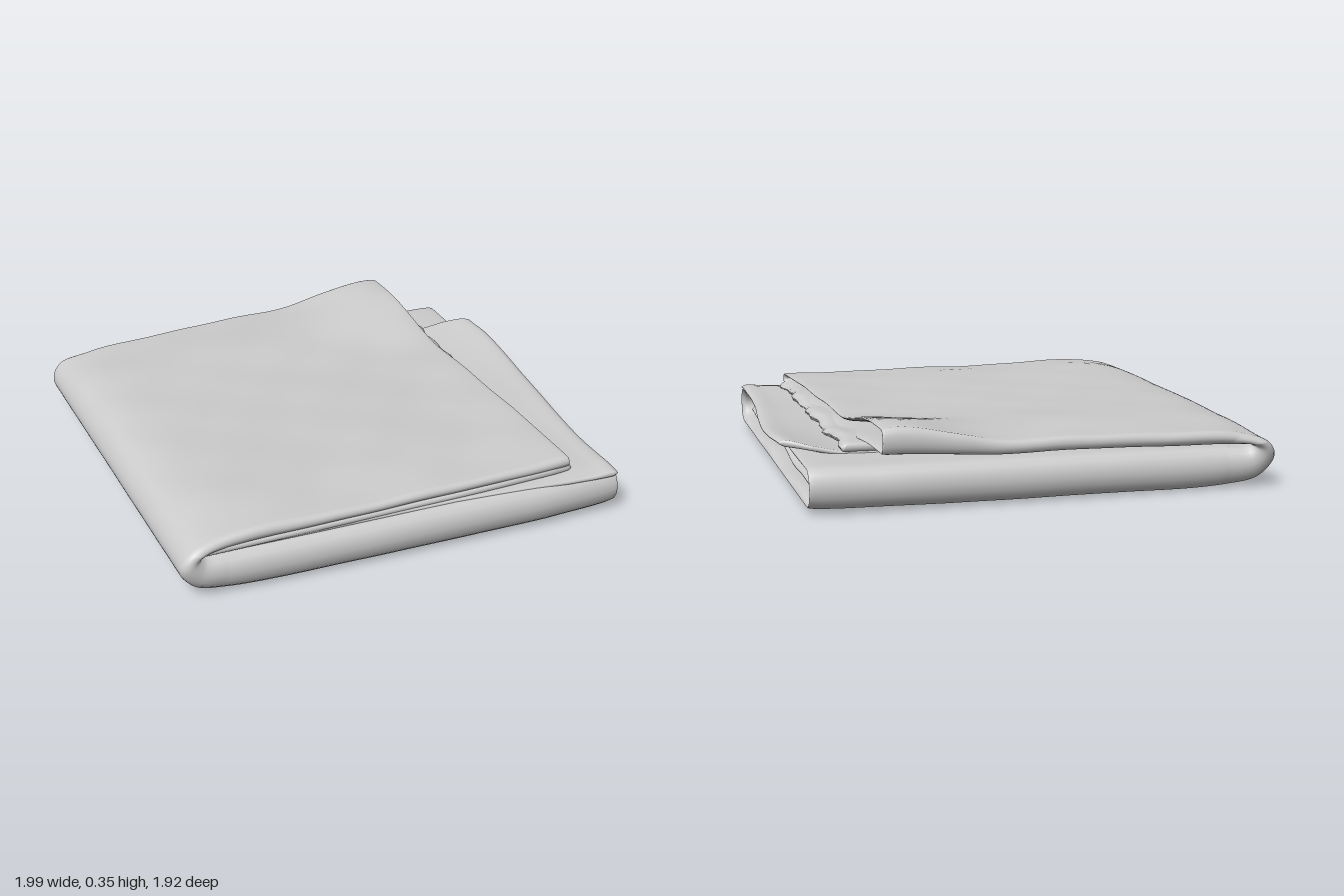
import * as THREE from 'three';

const smooth = THREE.MathUtils.smoothstep;

// Gentle cloth wrinkles
const ripple = (x, z) =>
  0.5 * Math.sin(5.1 * x + 2.3 * z + 0.7) * Math.sin(4.3 * z - 1.9 * x) +
  0.3 * Math.sin(11 * x - 7 * z) * Math.sin(9 * z + 1.3) +
  0.2 * Math.sin(19 * x + 13 * z + 2);

// Flattened closed loop: [position across, edge roundness, blend from face P to face Q]
function flatLoop(across, round) {
  const pts = [];
  for (let side = 1; side >= -1; side -= 2) {
    const w = (1 - side) / 2;
    for (let i = 0; i <= across; i++) pts.push([side * (-1 + (2 * i) / across), 0, w]);
    for (let i = 1; i < round; i++) {
      const a = (Math.PI * i) / round;
      pts.push([side, side * Math.sin(a), (1 - side * Math.cos(a)) / 2]);
    }
  }
  return pts;
}

// Cloth sleeve through stations [Px, Py, Qx, Qy, zMin, zMax]; bend() shapes each point
function sleeve(stations, steps, bend) {
  const curve = (f) => new THREE.CatmullRomCurve3(stations.map(f), false, 'centripetal');
  const outer = curve((s) => new THREE.Vector3(s[0], s[1], 0));
  const inner = curve((s) => new THREE.Vector3(s[2], s[3], 0));
  const loop = flatLoop(40, 8);
  const n = loop.length;
  const pos = [];
  const idx = [];
  const last = stations.length - 1;
  for (let i = 0; i <= steps; i++) {
    const u = i / steps;
    const p = outer.getPoint(u);
    const q = inner.getPoint(u);
    const edge = Math.min(0.065, 0.4 * p.distanceTo(q));
    const k = Math.min(Math.floor(u * last), last - 1);
    const f = u * last - k;
    const zMin = THREE.MathUtils.lerp(stations[k][4], stations[k + 1][4], f);
    const zMax = THREE.MathUtils.lerp(stations[k][5], stations[k + 1][5], f);
    for (const [c, o, w] of loop) {
      const point = new THREE.Vector3().lerpVectors(p, q, w);
      point.z = (zMin + zMax) / 2 + c * ((zMax - zMin) / 2 - edge) + o * edge;
      bend(point, u, w);
      pos.push(point.x, Math.max(point.y, 0), point.z);
    }
  }
  for (let i = 0; i < steps; i++) {
    for (let j = 0; j < n; j++) {
      const a = i * n + j;
      const b = i * n + ((j + 1) % n);
      idx.push(a, b, a + n, b, b + n, a + n);
    }
  }
  const g = new THREE.BufferGeometry();
  g.setAttribute('position', new THREE.Float32BufferAttribute(pos, 3));
  g.setIndex(idx);
  g.computeVertexNormals();
  return g;
}

export function createModel() {
  const group = new THREE.Group();
  const cloth = new THREE.MeshStandardMaterial({ color: 0xcccccc, side: THREE.DoubleSide });
  cloth.name = 'greyCloth';
  const add = (name, geometry) => {
    const mesh = new THREE.Mesh(geometry, cloth);
    mesh.name = name;
    group.add(mesh);
  };

  // Main path: lower lining, lip, lower bundle, fold at the -x side, upper bundle, lip, upper lining
  const fold = [
    [-0.8, 0.035, -0.8, 0.15, -0.85, 0.865],
    [0.2, 0.03, 0.2, 0.158, -0.86, 0.895],
    [0.7, 0.036, 0.7, 0.162, -0.865, 0.915],
    [0.9, 0.045, 0.9, 0.167, -0.865, 0.925],
    [0.92, 0.03, 0.92, 0.182, -0.885, 0.945],
    [0.6, 0.015, 0.6, 0.183, -0.9, 0.957],
    [-0.2, 0.008, -0.2, 0.177, -0.9, 0.938],
    [-0.8, 0.012, -0.78, 0.17, -0.9, 0.915],
    [-0.93, 0.045, -0.875, 0.168, -0.91, 0.912],
    [-0.987, 0.13, -0.895, 0.178, -0.925, 0.912],
    [-0.945, 0.21, -0.875, 0.188, -0.935, 0.91],
    [-0.82, 0.258, -0.78, 0.192, -0.92, 0.893],
    [-0.2, 0.266, -0.2, 0.202, -0.94, 0.885],
    [0.35, 0.266, 0.35, 0.205, -0.96, 0.877],
    [0.69, 0.266, 0.69, 0.208, -0.95, 0.865],
    [0.675, 0.256, 0.675, 0.218, -0.925, 0.845],
    [0.35, 0.252, 0.35, 0.217, -0.925, 0.85],
    [-0.2, 0.252, -0.2, 0.214, -0.915, 0.86],
    [-0.8, 0.242, -0.8, 0.205, -0.9, 0.865],
  ];
  add('foldedCloth', sleeve(fold, 180, (p, u, w) => {
    const upper = smooth(u, 0.5, 0.61);
    // Upper bundle rises towards its back open corner and droops at its edges
    const lift = smooth(-p.z, 0.25, 0.8) *
      (0.026 * smooth(p.x, -0.8, 0) + 0.048 * smooth(p.x, 0.15, 0.66));
    const droop = 0.018 * smooth(Math.abs(p.z), 0.55, 0.92) * (1 - smooth(-p.z, 0, 0.3) * smooth(p.x, 0, 0.5));
    p.y += upper * (lift * (1 - 0.5 * w) - droop * (1 - w));
    p.y += 0.006 * ripple(p.x, p.z) * (upper + 0.3) * (1 - 0.6 * w);
    // Uneven lining at the lower open end
    p.y += 0.008 * Math.sin(8 * p.z + 3 * w) * (1 - smooth(u, 0.16, 0.22));
    // Slanted open edge above, slightly slanted fold
    p.x += upper * 0.045 * p.z * smooth(p.x, 0.2, 0.69);
    p.x += 0.014 * p.z * smooth(-p.x, 0.5, 0.98);
  }));

  // Loose flap lying on the lower bundle, curling up at its open edge
  add('looseFlap', sleeve([
    [-0.85, 0.186, -0.85, 0.17, -0.62, 0.87],
    [0.2, 0.19, 0.2, 0.174, -0.62, 0.89],
    [0.7, 0.192, 0.7, 0.174, -0.62, 0.93],
    [0.84, 0.195, 0.84, 0.174, -0.6, 0.94],
    [0.93, 0.2, 0.93, 0.176, -0.555, 0.945],
    [0.95, 0.19, 0.95, 0.188, -0.55, 0.94],
  ], 40, (p) => {
    const end = smooth(p.x, 0.7, 0.94);
    p.x += end * (0.045 * smooth(-p.z, -0.4, 0.35) - 0.03 * smooth(p.z, 0.1, 0.7));
    p.x -= end * 0.012 * smooth(-p.z, 0.4, 0.55);
    p.y += end * (0.035 * smooth(-p.z, -0.2, 0.45) + 0.005 * Math.sin(7 * p.z));
    p.y -= 0.01 * smooth(p.z, 0.85, 0.95);
  }));

  // Ruffled middle layer between the bundles
  add('ruffledLayer', sleeve([
    [-0.87, 0.2, -0.87, 0.174, -0.6, 0.885],
    [0.3, 0.21, 0.3, 0.182, -0.62, 0.88],
    [0.65, 0.22, 0.65, 0.184, -0.63, 0.87],
    [0.72, 0.218, 0.73, 0.186, -0.63, 0.86],
    [0.74, 0.202, 0.74, 0.2, -0.62, 0.85],
  ], 50, (p) => {
    const end = smooth(p.x, 0.4, 0.74);
    p.x += end * (0.008 * Math.sin(17 * p.z) + 0.006 * Math.sin(41 * p.z));
    p.y += end * (0.006 * Math.sin(13 * p.z + 1) + 0.012 * smooth(-p.z, 0.2, 0.6));
  }));

  // Crumpled layer tucked inside the lower bundle
  add('innerHem', sleeve([
    [-0.7, 0.11, -0.7, 0.08, -0.78, 0.83],
    [0.1, 0.11, 0.1, 0.08, -0.8, 0.85],
    [0.7, 0.115, 0.7, 0.08, -0.8, 0.86],
    [0.87, 0.11, 0.87, 0.085, -0.79, 0.85],
    [0.885, 0.098, 0.885, 0.096, -0.78, 0.84],
  ], 40, (p) => {
    p.y += 0.015 * Math.sin(5 * p.z + 1) + 0.006 * Math.sin(14 * p.z + 3 * p.x);
  }));

  return group;
}
